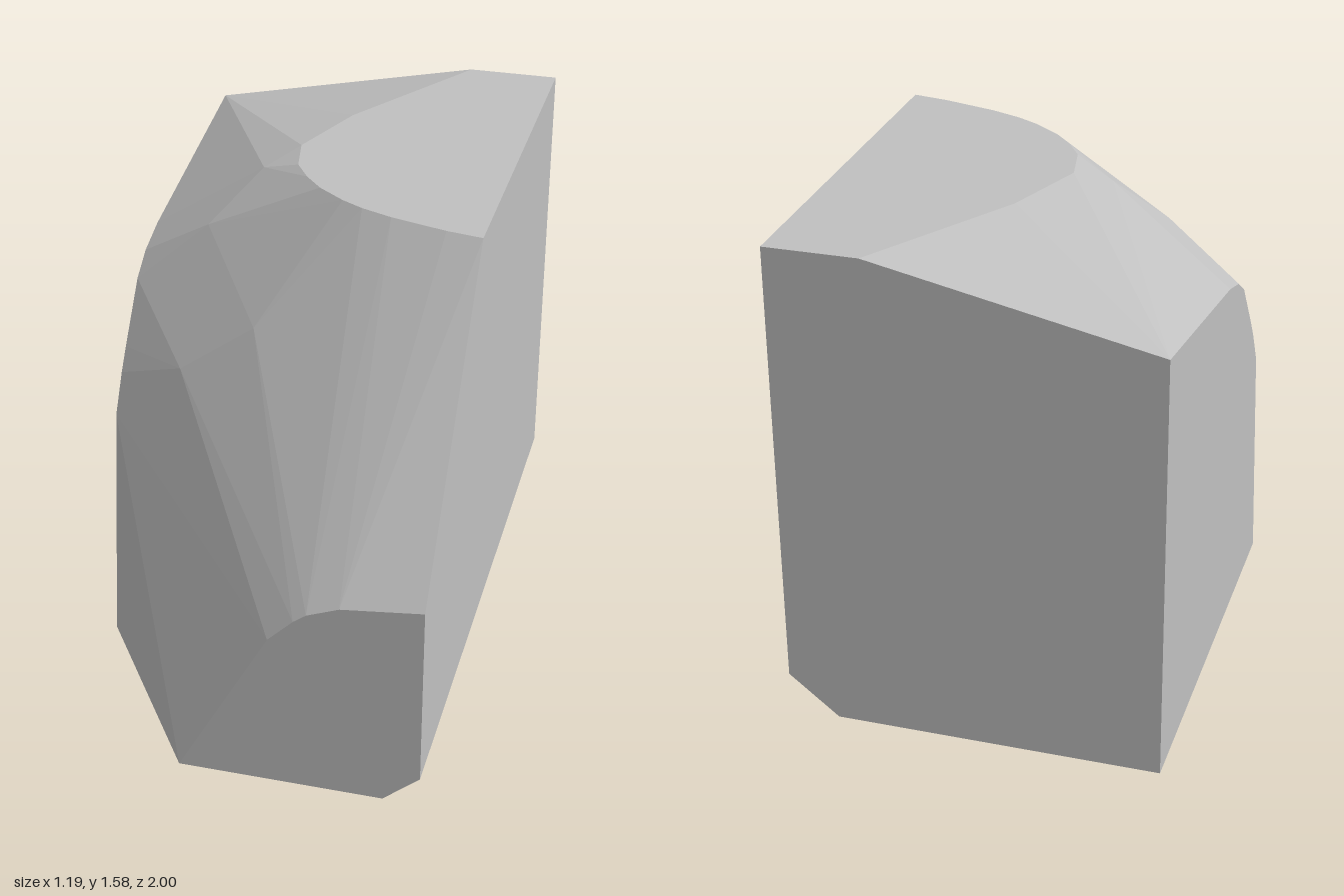
import * as THREE from 'three';
import { ConvexGeometry } from 'three/addons/geometries/ConvexGeometry.js';

export function createModel() {
  const group = new THREE.Group();
  group.name = 'facetedBlock';
  const grey = new THREE.MeshStandardMaterial({ color: 0xc0c0c0 });
  grey.name = 'stone grey';

  const W = 0.595, H = 1.58;
  const points = [];
  const add = (list, place) => list.forEach(([a, b]) => points.push(new THREE.Vector3(...place(a, b))));

  // Flat top outline (x, z)
  add([[W, -1], [0.3, -1], [0, -0.5], [-0.1, -0.22], [-0.07, -0.07], [-0.02, 0.01], [0.04, 0.08],
    [0.13, 0.15], [0.2, 0.19], [0.3, 0.23], [0.48, 0.28], [W, 0.3]], (x, z) => [x, H, z]);

  // Flat front outline (x, y)
  add([[-0.17, 0], [0.12, 0.53], [0.2, 0.61], [0.24, 0.64], [0.34, 0.68], [W, 0.71], [W, 0.1], [0.48, 0]],
    (x, y) => [x, y, 1]);

  // Narrow side outline (z, y)
  add([[-1, 0], [-1, 1.39], [-0.21, 1.25], [-0.08, 1.21], [0.01, 1.15], [0.15, 0.97], [0.2, 0.9],
    [0.27, 0.78], [0.37, 0]], (z, y) => [-W, y, z]);

  // Back end of the lower bevel (x, y)
  add([[W, 0.13], [0.435, 0]], (x, y) => [x, y, -1]);

  // Crests of the rounded shoulder
  [[-0.2, 1.53, -0.13], [-0.08, 1.51, 0.04], [-0.35, 1.37, 0], [-0.35, 1.02, 0.33],
    [-0.2, 1.15, 0.32], [-0.1, 1.21, 0.35], [-0.02, 1.31, 0.3]]
    .forEach((p) => points.push(new THREE.Vector3(...p)));

  const block = new THREE.Mesh(new ConvexGeometry(points), grey);
  block.name = 'block';
  group.add(block);
  return group;
}
